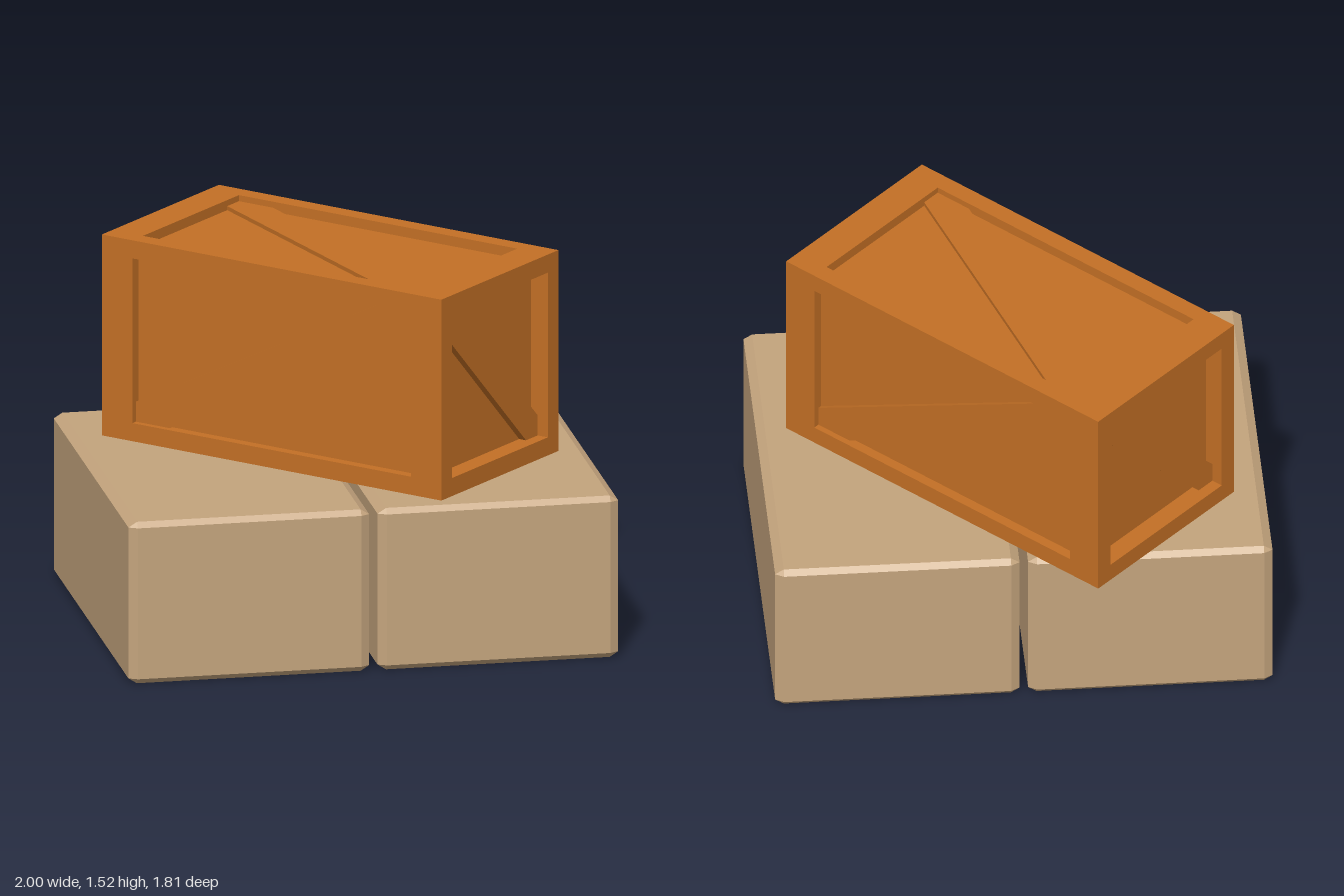
import * as THREE from 'three';
import { ConvexGeometry } from 'three/addons/geometries/ConvexGeometry.js';

const wood = new THREE.MeshStandardMaterial({ color: 0xc47025 });
wood.name = 'orange wood';
const cardboard = new THREE.MeshStandardMaterial({ color: 0xc4a47d });
cardboard.name = 'tan cardboard';

function add(parent, name, geometry, material) {
  const mesh = new THREE.Mesh(geometry, material);
  mesh.name = name;
  parent.add(mesh);
  return mesh;
}

// Box with all edges chamfered: each corner becomes three points
function chamferedBox(w, h, d, cx, cy, cz) {
  const points = [];
  for (const sx of [-1, 1]) for (const sy of [-1, 1]) for (const sz of [-1, 1]) {
    const corner = (a, b, c) => points.push(
      new THREE.Vector3(sx * (w / 2 - a), sy * (h / 2 - b), sz * (d / 2 - c)));
    corner(0, cy, cz);
    corner(cx, 0, cz);
    corner(cx, cy, 0);
  }
  return new ConvexGeometry(points);
}

// Diagonal brace across a recessed panel, rising from lower left to upper right
function braceGeometry(half, cut, depth) {
  const e = half - cut;
  const shape = new THREE.Shape([
    [-half, -half], [-e, -half], [half, e], [half, half], [e, half], [-half, -e],
  ].map(([x, y]) => new THREE.Vector2(x, y)));
  return new THREE.ExtrudeGeometry(shape, { depth, bevelEnabled: false });
}

// Unit crate, stretched to size by its group
function createCrate() {
  const crate = new THREE.Group();
  crate.name = 'crate';
  const beam = 0.09, inner = 1 - 2 * beam, panel = 0.45, at = 0.5 - beam / 2;

  add(crate, 'panels', new THREE.BoxGeometry(panel * 2, panel * 2, panel * 2), wood);

  // Frame: four posts and eight rails
  const post = new THREE.BoxGeometry(beam, 1, beam);
  const longRail = new THREE.BoxGeometry(inner, beam, beam);
  const shortRail = new THREE.BoxGeometry(beam, beam, inner);
  for (const a of [-at, at]) for (const b of [-at, at]) {
    add(crate, 'cornerPost', post, wood).position.set(a, 0, b);
    add(crate, 'longRail', longRail, wood).position.set(0, a, b);
    add(crate, 'shortRail', shortRail, wood).position.set(a, b, 0);
  }

  // One brace per face
  const rising = braceGeometry(inner / 2, 0.1, 0.02).translate(0, 0, panel);
  const falling = rising.clone().rotateZ(Math.PI / 2);
  const q = Math.PI / 2;
  const faces = [
    ['frontBrace', rising, 0, 0], ['backBrace', rising, 0, 2 * q],
    ['leftBrace', falling, 0, q], ['rightBrace', falling, 0, -q],
    ['topBrace', falling, -q, 0], ['bottomBrace', falling, q, 0],
  ];
  for (const [name, geometry, rx, ry] of faces) {
    add(crate, name, geometry, wood).rotation.set(rx, ry, 0);
  }
  return crate;
}

export function createModel() {
  const model = new THREE.Group();
  model.name = 'stackedBoxes';

  // Two cardboard boxes side by side
  const boxGeometry = chamferedBox(0.983, 0.675, 1.6, 0.035, 0.022, 0.02);
  for (const side of [-1, 1]) {
    add(model, side < 0 ? 'rightBox' : 'leftBox', boxGeometry, cardboard)
      .position.set(side * 0.5085, 0.3375, 0.105);
  }

  // Wooden crate turned diagonally on top
  const crate = createCrate();
  crate.scale.set(1.64, 0.84, 0.84);
  crate.rotation.y = -Math.PI / 4;
  crate.position.set(0.003, 1.1, -0.033);
  model.add(crate);
  return model;
}
